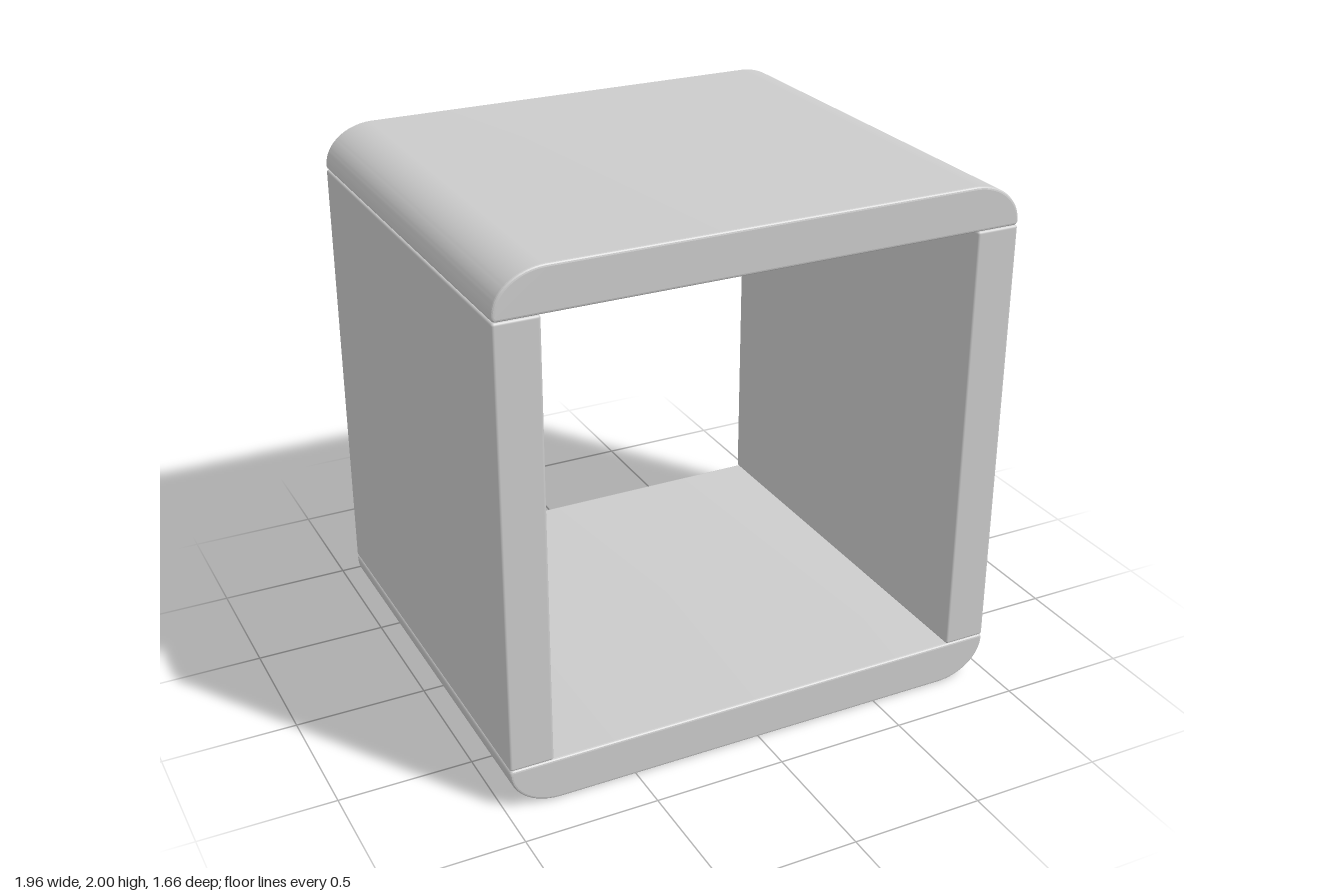
import * as THREE from 'three';
import { toCreasedNormals } from 'three/addons/utils/BufferGeometryUtils.js';
import { RoundedBoxGeometry } from 'three/addons/geometries/RoundedBoxGeometry.js';

const HALF_WIDTH = 0.98, DEPTH = 1.66, THICK = 0.165, EDGE = 0.01;

// Slab with its seam face at y = 0 and two large rounded corners above.
function slabGeometry() {
  const w = HALF_WIDTH, r = 0.19, e = 0.015;
  const s = new THREE.Shape();
  s.moveTo(-w + e, 0);
  s.lineTo(w - e, 0);
  s.absarc(w - e, e, e, -Math.PI / 2, 0, false);
  s.absellipse(w - r, e, r, THICK - e, 0, Math.PI / 2, false, 0);
  s.absellipse(-w + r, e, r, THICK - e, Math.PI / 2, Math.PI, false, 0);
  s.absarc(-w + e, e, e, Math.PI, Math.PI * 1.5, false);
  const geo = new THREE.ExtrudeGeometry(s, {
    depth: DEPTH - 2 * EDGE, curveSegments: 16,
    bevelEnabled: true, bevelThickness: EDGE, bevelSize: EDGE, bevelOffset: -EDGE, bevelSegments: 3,
  });
  geo.translate(0, 0, -DEPTH / 2 + EDGE);
  return toCreasedNormals(geo, 0.2);
}

export function createModel() {
  const group = new THREE.Group();
  const material = new THREE.MeshStandardMaterial({ color: 0xcccccc });
  const add = (name, geo, x, y) => {
    const mesh = new THREE.Mesh(geo, material);
    mesh.name = name;
    mesh.position.set(x, y, 0);
    group.add(mesh);
    return mesh;
  };

  // Top and bottom slabs, the bottom one turned over
  const slab = slabGeometry();
  add('topPanel', slab, 0, 2 - THICK);
  add('bottomPanel', slab, 0, THICK + 0.005).rotation.z = Math.PI;
  group.children[1].position.y = THICK;

  // Upright side panels between the slabs
  const side = new RoundedBoxGeometry(THICK, 2 - 2 * THICK, DEPTH, 3, EDGE);
  add('leftPanel', side, HALF_WIDTH - THICK / 2, 1);
  add('rightPanel', side, -HALF_WIDTH + THICK / 2, 1);
  return group;
}
